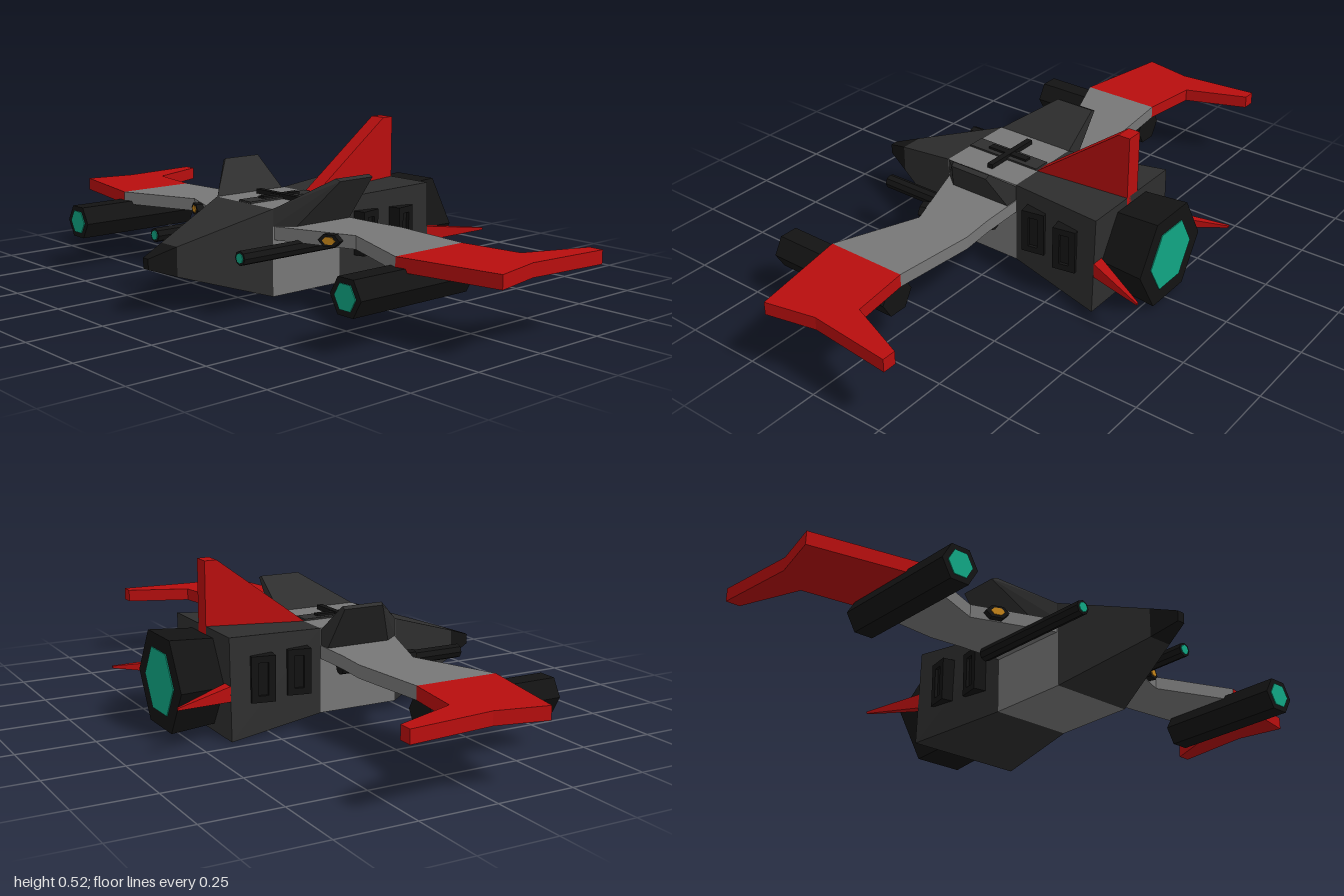
import * as THREE from 'three';
import { ConvexGeometry } from 'three/addons/geometries/ConvexGeometry.js';

const mat = (color) => new THREE.MeshStandardMaterial({ color, flatShading: true });
const DARK = mat(0x2e2e2e), BLACK = mat(0x131313), GREY = mat(0x777777);
const RED = mat(0xb80e0e), TEAL = mat(0x10a583), ORANGE = mat(0xc8861a);

export function createModel() {
  const model = new THREE.Group();
  model.name = 'starfighter';

  const add = (name, geometry, material) => {
    const mesh = new THREE.Mesh(geometry, material);
    mesh.name = name;
    model.add(mesh);
    return mesh;
  };
  // Convex solid around a few corners
  const hull = (name, points, material) =>
    add(name, new ConvexGeometry(points.map((p) => new THREE.Vector3(...p))), material);
  // Rectangular section: z, bottom half width, top half width, bottom y, top y
  const section = ([z, wb, wt, y0, y1]) => [[-wb, y0, z], [wb, y0, z], [wt, y1, z], [-wt, y1, z]];
  const loft = (name, a, b, material) => hull(name, [...section(a), ...section(b)], material);
  const box = (name, w, h, d, x, y, z, material) => {
    const mesh = add(name, new THREE.BoxGeometry(w, h, d), material);
    mesh.position.set(x, y, z);
    return mesh;
  };
  // Tube along z with a flat top and the given number of sides
  const barrel = (name, rFront, rBack, x, y, zFront, zBack, material, sides = 6) => {
    const g = new THREE.CylinderGeometry(rFront, rBack, zFront - zBack, sides, 1, false, Math.PI / 2);
    g.rotateX(Math.PI / 2).translate(x, y, (zFront + zBack) / 2);
    return add(name, g, material);
  };
  // Horizontal plate from an outline of [x, z]
  const plate = (name, outline, side, material) => {
    const shape = new THREE.Shape(outline.map(([x, z]) => new THREE.Vector2(side * x, z)));
    const g = new THREE.ExtrudeGeometry(shape, { depth: 0.042, bevelEnabled: false });
    add(name, g.rotateX(Math.PI / 2).translate(0, 0.25, 0), material);
  };

  // Fuselage, from nose to tail
  const tip = [0.595, 0.013, 0.013, 0.15, 0.183];
  const noseFront = [0.51, 0.04, 0.04, 0.12, 0.212];
  const shoulder = [0.222, 0.14, 0.14, 0.03, 0.305];
  const waist = [-0.055, 0.14, 0.14, 0.03, 0.305];
  const tail = [-0.395, 0.205, 0.195, 0.005, 0.326];
  loft('noseTip', tip, noseFront, BLACK);
  loft('nose', noseFront, shoulder, DARK);
  loft('midBody', shoulder, waist, GREY);
  loft('rearBody', waist, tail, DARK);

  // Roof strip and cross bar
  box('roofStrip', 0.058, 0.016, 0.27, 0, 0.303, 0.085, DARK);
  box('roofSpine', 0.024, 0.02, 0.15, 0, 0.308, 0.08, BLACK);
  box('roofBar', 0.21, 0.03, 0.02, 0, 0.305, 0.078, BLACK);

  // Upright tail fin
  hull('tailFin', [-0.028, 0.028].flatMap((x) => [
    [x, 0.303, -0.05], [x, 0.53, -0.355], [x, 0.53, -0.395], [x, 0.3, -0.395],
  ]), RED);

  // Main engine
  barrel('mainEngine', 0.156, 0.168, 0, 0.165, -0.39, -0.54, BLACK);
  barrel('mainEngineGlow', 0.112, 0.112, 0, 0.165, -0.53, -0.543, TEAL);

  for (const s of [1, -1]) {
    // Swept wing with a forked tip
    plate('wing', [[0.1, -0.055], [0.29, -0.06], [0.4, -0.07], [0.67, -0.045],
      [0.67, 0.227], [0.4, 0.12], [0.14, 0.217], [0.1, 0.217]], s, GREY);
    plate('wingTip', [[0.67, -0.045], [0.865, -0.07], [0.945, -0.274], [0.99, -0.274],
      [0.965, 0], [1, 0.165], [0.67, 0.227]], s, RED);

    // Slanted winglet rising from the shoulder
    hull('winglet', [
      [0.138, 0.304, 0.222], [0.138, 0.25, 0.222],
      [0.138, 0.298, -0.054], [0.138, 0.25, -0.054], [0.185, 0.25, -0.054], [0.185, 0.25, 0.165],
      [0.272, 0.4, 0.085], [0.288, 0.393, 0.08], [0.272, 0.4, -0.054], [0.288, 0.393, -0.054],
    ].map(([x, y, z]) => [s * x, y, z]), DARK);

    // Pod under the wing
    barrel('wingPod', 0.061, 0.061, s * 0.672, 0.167, 0.415, -0.03, BLACK);
    barrel('wingPodGlow', 0.042, 0.042, s * 0.672, 0.167, 0.418, 0.4, TEAL);

    // Thin gun beside the body
    barrel('gun', 0.023, 0.023, s * 0.217, 0.193, 0.412, -0.03, BLACK, 8);
    barrel('gunGlow', 0.016, 0.016, s * 0.217, 0.193, 0.415, 0.4, TEAL, 8);

    // Lamp in the leading edge
    const lamp = new THREE.Group();
    lamp.name = 'wingLamp';
    const housing = barrel('lampHousing', 0.037, 0.037, 0, 0, 0.012, -0.03, BLACK);
    const bulb = barrel('lampBulb', 0.022, 0.022, 0, 0, 0.015, 0, ORANGE);
    lamp.add(housing, bulb);
    lamp.scale.y = 0.58;
    lamp.position.set(s * 0.33, 0.23, 0.158);
    lamp.rotation.y = s * 0.36;
    model.add(lamp);

    // Side vents along the flared rear body
    for (const [z, x] of [[-0.148, 0.159], [-0.283, 0.182]]) {
      const vent = new THREE.Group();
      vent.name = 'sideVent';
      for (const dz of [-0.027, 0.027]) vent.add(box('ventPost', 0.05, 0.145, 0.022, 0, 0, dz, BLACK));
      for (const dy of [-0.062, 0.062]) vent.add(box('ventRail', 0.05, 0.021, 0.054, 0, dy, 0, BLACK));
      vent.add(box('ventPanel', 0.03, 0.12, 0.05, 0, 0, 0, BLACK));
      vent.position.set(s * x, 0.187, z);
      vent.rotation.y = -s * Math.PI + s * Math.PI + s * 0.18;
      model.add(vent);
    }

    // Spike trailing from the tail
    hull('tailSpike', [
      [0.158, 0.13, -0.394], [0.2, 0.13, -0.394], [0.2, 0.178, -0.394], [0.158, 0.178, -0.394],
      [0.262, 0.151, -0.594], [0.27, 0.151, -0.594], [0.27, 0.158, -0.594], [0.262, 0.158, -0.594],
    ].map(([x, y, z]) => [s * x, y, z]), RED);
  }
  return model;
}
